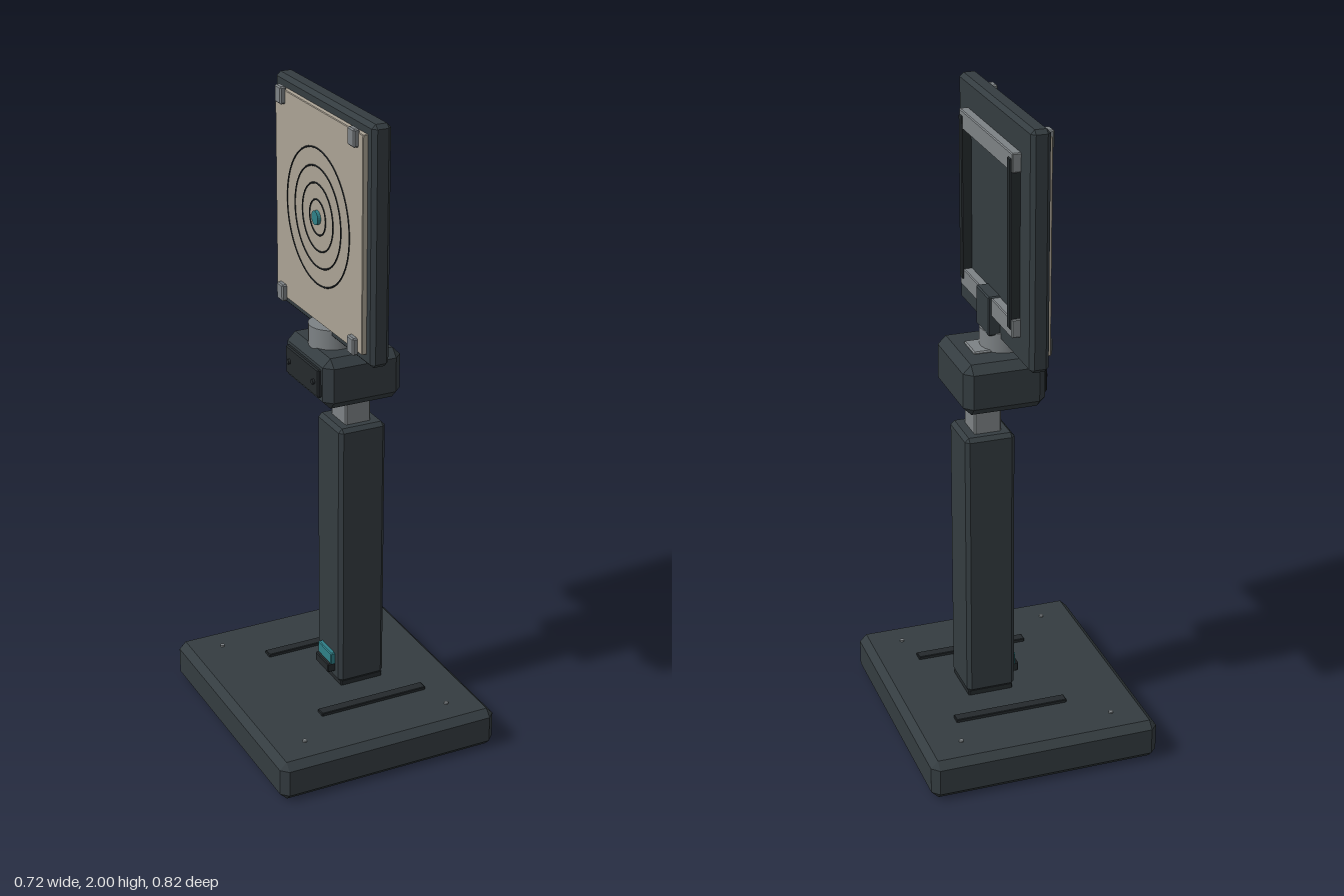
import * as THREE from 'three';
import { ConvexGeometry } from 'three/addons/geometries/ConvexGeometry.js';

const material = (color) => new THREE.MeshStandardMaterial({ color, flatShading: true });

export function createModel() {
  const model = new THREE.Group();
  const dark = material(0x343c40);
  const black = material(0x24292c);
  const grey = material(0x7d8285);
  const paper = material(0xaba395);
  const teal = material(0x2f8088);

  const add = (name, geometry, mat, x = 0, y = 0, z = 0) => {
    const mesh = new THREE.Mesh(geometry, mat);
    mesh.name = name;
    mesh.position.set(x, y, z);
    model.add(mesh);
    return mesh;
  };

  // Box given by its limits, with every edge cut by a flat chamfer
  const block = (name, mat, [x0, x1], [y0, y1], [z0, z1], c) => {
    const half = [(x1 - x0) / 2, (y1 - y0) / 2, (z1 - z0) / 2];
    const points = [];
    for (const sx of [-1, 1]) for (const sy of [-1, 1]) for (const sz of [-1, 1]) {
      for (let axis = 0; axis < 3; axis++) {
        const p = half.map((h, i) => (i === axis ? h : h - c));
        points.push(new THREE.Vector3(sx * p[0], sy * p[1], sz * p[2]));
      }
    }
    return add(name, new ConvexGeometry(points), mat, (x0 + x1) / 2, (y0 + y1) / 2, (z0 + z1) / 2);
  };

  // Short cylinder lying along x
  const disc = (name, mat, r, depth, x, y, z) => {
    const g = new THREE.CylinderGeometry(r, r, depth, 24).rotateZ(Math.PI / 2);
    return add(name, g, mat, x, y, z);
  };

  // Base plate with two raised strips and four screws
  block('base', dark, [-0.36, 0.36], [0, 0.127], [-0.41, 0.41], 0.022);
  for (const s of [-1, 1]) {
    const z = s * 0.194;
    block('baseStrip', black, [-0.135, 0.221], [0.12, 0.137], [z - 0.016, z + 0.016], 0.002);
    for (const x of [-0.242, 0.24]) {
      add('baseScrew', new THREE.CylinderGeometry(0.007, 0.007, 0.012, 12), grey, x, 0.126, s * 0.31);
    }
  }

  // Column, sliding post and the small indicator at the foot
  block('columnFoot', black, [-0.005, 0.138], [0.12, 0.145], [-0.075, 0.075], 0.003);
  block('column', dark, [-0.012, 0.142], [0.137, 1.006], [-0.08, 0.08], 0.012);
  block('post', grey, [0.022, 0.105], [0.99, 1.268], [-0.048, 0.048], 0.004);
  block('indicatorLedge', black, [-0.036, -0.008], [0.165, 0.195], [-0.045, 0.045], 0.003);
  block('indicator', teal, [-0.026, -0.008], [0.19, 0.231], [-0.045, 0.045], 0.003);

  // Head with a cover plate held by two bolts
  block('head', dark, [-0.088, 0.163], [1.105, 1.262], [-0.144, 0.144], 0.025);
  block('headCover', black, [-0.099, -0.08], [1.14, 1.228], [-0.11, 0.11], 0.004);
  for (const z of [-0.083, 0.083]) disc('coverBolt', black, 0.008, 0.01, -0.101, 1.184, z);

  // Swivel neck and the bracket that carries the board
  const neck = add('neck', new THREE.CylinderGeometry(0.07, 0.07, 0.066, 32), grey, 0, 1.289, 0);
  neck.material = new THREE.MeshStandardMaterial({ color: 0x7d8285 });
  block('bracket', dark, [0.02, 0.064], [1.315, 1.436], [-0.056, 0.056], 0.004);

  // Board with a rear frame of rails and uprights
  block('board', dark, [-0.03, 0.028], [1.295, 2], [-0.315, 0.315], 0.012);
  for (const y of [1.404, 1.888]) {
    block('rearRail', grey, [0.02, 0.054], [y - 0.028, y + 0.028], [-0.231, 0.231], 0.003);
  }
  for (const z of [-0.212, 0.212]) {
    block('rearUpright', black, [0.02, 0.058], [1.4, 1.9], [z - 0.013, z + 0.013], 0.003);
  }

  // Paper sheet with rings, a centre dot and corner clips
  block('sheet', paper, [-0.045, -0.025], [1.33, 1.968], [-0.282, 0.282], 0.002);
  for (const r of [0.052, 0.1, 0.15, 0.203]) {
    const ring = new THREE.TorusGeometry(r, 0.0025, 6, 64).rotateY(Math.PI / 2);
    add('ring', ring, black, -0.045, 1.65, 0);
  }
  disc('centreDot', teal, 0.021, 0.01, -0.05, 1.65, 0);
  for (const y of [1.346, 1.952]) {
    for (const z of [-0.235, 0.235]) {
      block('clip', grey, [-0.06, -0.04], [y - 0.026, y + 0.026], [z - 0.02, z + 0.02], 0.004);
    }
  }

  return model;
}
